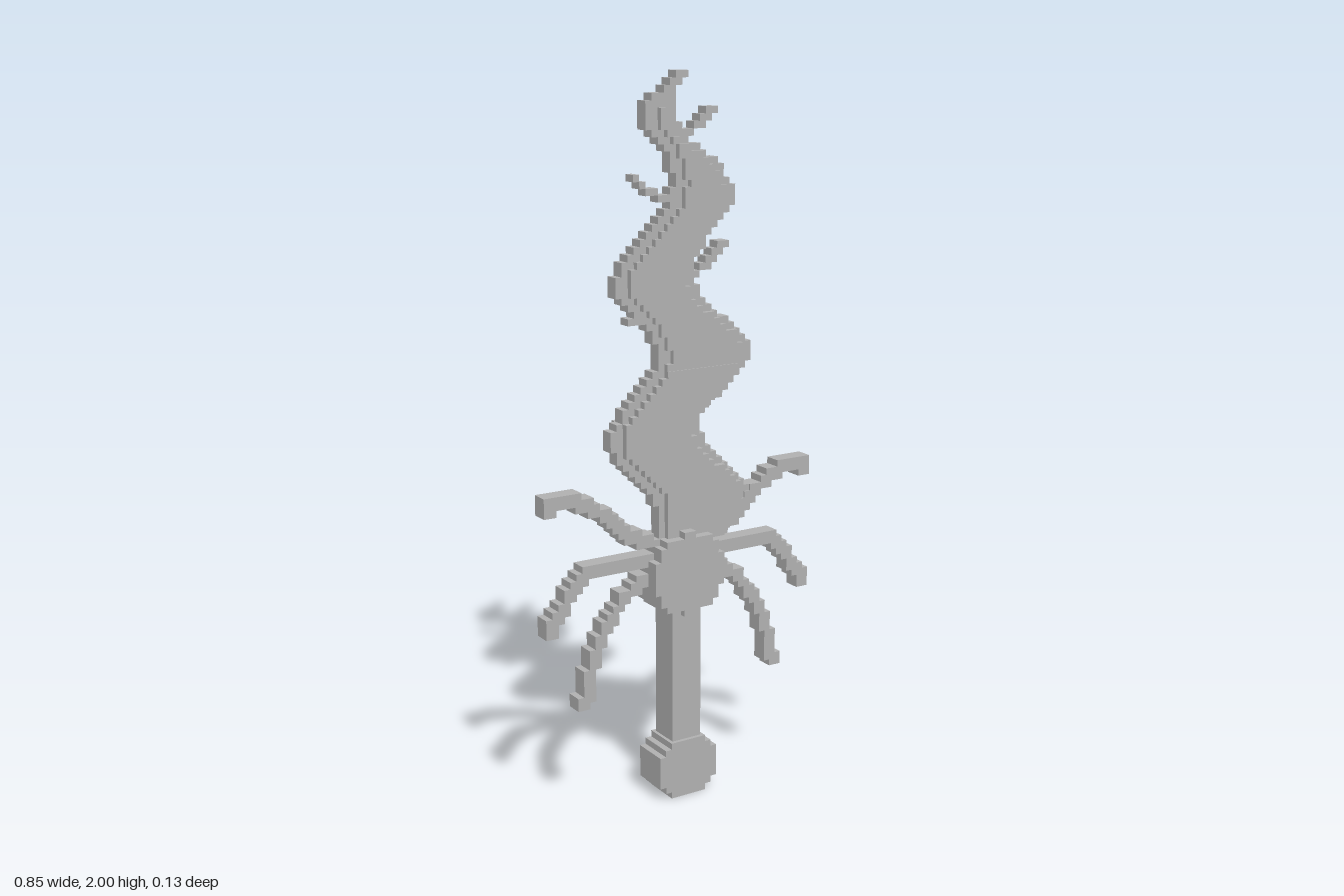
import * as THREE from 'three';
import { mergeGeometries } from 'three/addons/utils/BufferGeometryUtils.js';

const U = 2 / 108; // size of one block

// Blade outline: height, left edge, right edge
const OUTLINE = [
  [0.74, -0.075, 0.14], [0.77, -0.08, 0.185], [0.85, -0.08, 0.22], [0.88, -0.09, 0.21],
  [0.92, -0.13, 0.17], [1.0, -0.21, 0.08], [1.05, -0.225, 0.056], [1.09, -0.205, 0.06],
  [1.17, -0.13, 0.165], [1.22, -0.085, 0.21], [1.26, -0.075, 0.222], [1.3, -0.08, 0.2],
  [1.35, -0.12, 0.13], [1.4, -0.17, 0.07], [1.45, -0.205, 0.037], [1.5, -0.19, 0.037],
  [1.56, -0.13, 0.075], [1.62, -0.075, 0.13], [1.65, -0.04, 0.165], [1.69, -0.03, 0.16],
  [1.72, -0.02, 0.145], [1.77, -0.04, 0.11], [1.8, -0.05, 0.06], [1.83, -0.07, 0.01],
  [1.86, -0.11, -0.005], [1.92, -0.11, -0.019], [1.94, -0.075, -0.019], [1.97, -0.05, 0],
  [1.985, -0.02, 0.018], [2.0, 0, 0.019],
];

// Curling arms of the guard (one side, the other is mirrored)
const ARMS = {
  upperArm: [[0.1, 0.75], [0.18, 0.79], [0.235, 0.845], [0.285, 0.88], [0.33, 0.9], [0.41, 0.9], [0.41, 0.885]],
  middleArm: [[0.08, 0.71], [0.3, 0.71], [0.34, 0.665], [0.375, 0.61], [0.405, 0.57], [0.41, 0.56]],
  lowerArm: [[0.1, 0.66], [0.17, 0.62], [0.225, 0.56], [0.27, 0.48], [0.297, 0.4], [0.297, 0.34], [0.315, 0.335]],
};

// Small thorns growing from the blade edge
const THORNS = [
  [[-0.14, 1.73], [-0.11, 1.7], [-0.03, 1.665]],
  [[0.1, 1.9], [0.05, 1.86], [0, 1.83]],
  [[0.135, 1.545], [0.1, 1.52], [0.05, 1.475]],
  [[-0.16, 1.36], [-0.13, 1.37], [-0.11, 1.4]],
];

// Inside test for the blade outline, inset sideways
function insideBlade(x, y, inset) {
  for (let i = 1; i < OUTLINE.length; i++) {
    const [y0, l0, r0] = OUTLINE[i - 1], [y1, l1, r1] = OUTLINE[i];
    if (y < y0 || y > y1) continue;
    const t = (y - y0) / (y1 - y0);
    return x > l0 + (l1 - l0) * t + inset && x < r0 + (r1 - r0) * t - inset;
  }
  return false;
}

// Inside test for a thick polyline
function nearPath(x, y, path, radius) {
  for (let i = 1; i < path.length; i++) {
    const [ax, ay] = path[i - 1], [bx, by] = path[i];
    const dx = bx - ax, dy = by - ay;
    const t = THREE.MathUtils.clamp(((x - ax) * dx + (y - ay) * dy) / (dx * dx + dy * dy), 0, 1);
    if (Math.hypot(x - ax - dx * t, y - ay - dy * t) < radius) return true;
  }
  return false;
}

// Fills the block grid wherever inside(x, y) is true, one box per run of blocks
function blocks(inside, halfDepth) {
  const boxes = [];
  for (let j = 0; j < 108; j++) {
    let start = null;
    for (let i = -26; i <= 26; i++) {
      const full = inside((i + 0.5) * U, (j + 0.5) * U);
      if (full && start === null) start = i;
      if (!full && start !== null) {
        const box = new THREE.BoxGeometry((i - start) * U, U, halfDepth * 2);
        boxes.push(box.translate(((i + start) / 2) * U, (j + 0.5) * U, 0));
        start = null;
      }
    }
  }
  return mergeGeometries(boxes);
}

export function createModel() {
  const group = new THREE.Group();
  const grey = new THREE.MeshStandardMaterial({ color: 0xb0b0b0 });
  grey.name = 'grey';
  const add = (name, geometry) => {
    const mesh = new THREE.Mesh(geometry, grey);
    mesh.name = name;
    group.add(mesh);
    return mesh;
  };

  // Wavy blade: thin rim, thicker core, slight swelling low down
  add('bladeEdge', blocks((x, y) => insideBlade(x, y, 0), 0.02));
  add('bladeCore', blocks((x, y) => y < 1.91 && insideBlade(x, y, 0.032), 0.036));
  add('bladeSwelling', blocks((x, y) => y > 0.92 && y < 1.22 && insideBlade(x, y, 0.032), 0.039));
  THORNS.forEach((path, i) => add(`thorn${i + 1}`, blocks((x, y) => nearPath(x, y, path, 0.011), 0.019)));

  // Guard disc with three arms on each side
  add('guard', blocks((x, y) => Math.hypot(x, y - 0.657) < 0.114, 0.063));
  for (const [name, path] of Object.entries(ARMS)) {
    add(name, blocks((x, y) => nearPath(Math.abs(x), y, path, 0.0185), 0.0245));
  }

  // Grip and round pommel
  add('grip', new THREE.BoxGeometry(0.092, 0.42, 0.088).translate(0, 0.36, 0));
  add('pommel', blocks((x, y) => Math.hypot(x, y - 0.083) < 0.093, 0.055));

  return group;
}
